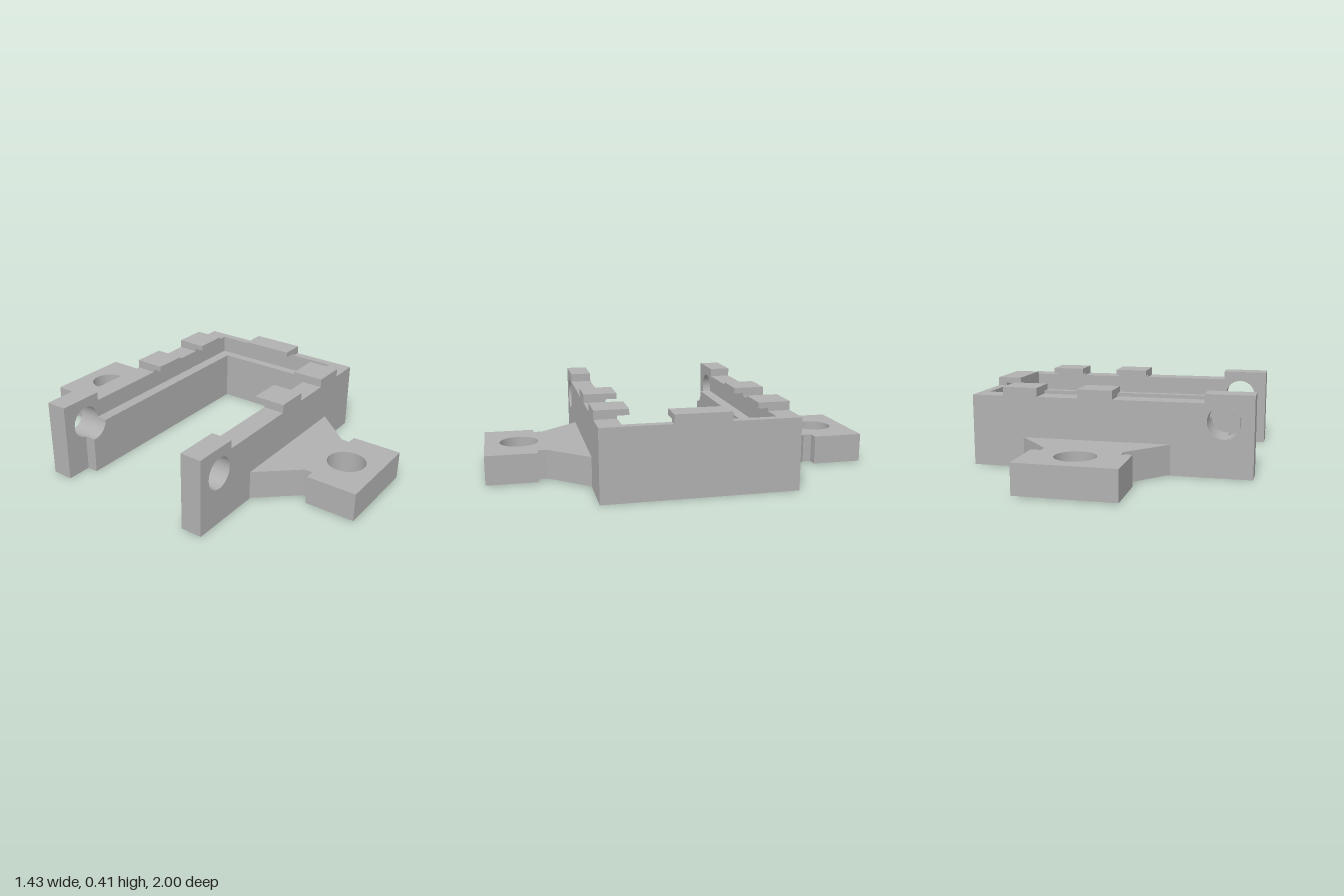
import * as THREE from 'three';
import { toCreasedNormals } from 'three/addons/utils/BufferGeometryUtils.js';

const TOP = 0.41, RIM = 0.365, LEDGE = 0.27, FLANGE = 0.155;
const OUT = 0.715, WALL_Z = 0.375, OUT_Z = 0.488;
const HOLE = { x: -0.57, y: 0.275, r: 0.083 };

export function createModel() {
  const model = new THREE.Group();
  const grey = new THREE.MeshStandardMaterial({ color: 0xb0b0b0 });
  grey.name = 'plain grey';

  const add = (name, geometry) => {
    const mesh = new THREE.Mesh(geometry, grey);
    mesh.name = name;
    model.add(mesh);
    return mesh;
  };
  // Box given by its lower and upper corners
  const box = (name, x0, x1, y0, y1, z0, z1) => {
    const g = new THREE.BoxGeometry(x1 - x0, y1 - y0, z1 - z0);
    add(name, g.translate((x0 + x1) / 2, (y0 + y1) / 2, (z0 + z1) / 2));
  };
  const polygon = (pts) => new THREE.Shape(pts.map(([x, y]) => new THREE.Vector2(x, y)));
  const circle = (x, y, r) => new THREE.Path().absarc(x, y, r, 0, Math.PI * 2, true);
  const extrude = (shape, depth) => toCreasedNormals(
    new THREE.ExtrudeGeometry(shape, { depth, bevelEnabled: false, curveSegments: 32 }), 0.5);

  // Side wall outline with a raised end tab and a pivot hole
  const wall = polygon([[-OUT, 0], [OUT, 0], [OUT, RIM], [-0.475, RIM], [-0.475, TOP], [-OUT, TOP]]);
  wall.holes.push(circle(HOLE.x, HOLE.y, HOLE.r));

  // Inner ledge outline, its free end scooped by the pivot hole
  const ledge = new THREE.Shape();
  ledge.moveTo(-0.58, 0);
  ledge.lineTo(0.67, 0);
  ledge.lineTo(0.67, LEDGE);
  ledge.lineTo(-0.487, LEDGE);
  ledge.absarc(HOLE.x, HOLE.y, HOLE.r, -0.06, -1.69, true);
  ledge.closePath();

  // Mounting flange seen from above, with a necked plate and screw hole
  const flange = polygon([
    [-0.31, OUT_Z], [0.445, OUT_Z], [0.262, 0.692], [0.262, 0.737], [0.315, 0.737],
    [0.315, 1], [-0.18, 1], [-0.18, 0.737], [-0.127, 0.737], [-0.127, 0.692],
  ]);
  flange.holes.push(circle(0.067, 0.823, 0.1));

  for (const s of [1, -1]) {
    const side = s > 0 ? 'front' : 'back';
    const inner = s > 0 ? 0.33 : 0.315;
    const tip = s > 0 ? 0.317 : 0.325;
    const span = (a, b) => (s > 0 ? [a, b] : [-b, -a]);

    add(side + 'Wall', extrude(wall, OUT_Z - WALL_Z)).position.z = span(WALL_Z, OUT_Z)[0];
    add(side + 'Ledge', extrude(ledge, WALL_Z - inner)).position.z = span(inner, WALL_Z)[0];

    const plate = add(side + 'Flange', extrude(flange, FLANGE - 0.004));
    plate.rotation.x = s * Math.PI / 2;
    plate.position.y = s > 0 ? FLANGE : 0.004;

    // Retaining clips: a foot on the rim and a lip reaching inward
    for (const [x0, x1] of [[-0.02, 0.16], [0.37, 0.55]]) {
      box(side + 'ClipFoot', x0, x1, RIM, TOP, ...span(WALL_Z, OUT_Z));
      box(side + 'ClipLip', x0, x1, 0.38, TOP, ...span(tip, WALL_Z));
    }
  }

  // Closed end with its ledge and clip
  box('endWall', 0.67, OUT, 0, RIM, -WALL_Z, WALL_Z);
  box('endLedge', 0.62, 0.67, 0, LEDGE, -0.315, 0.33);
  box('endClipFoot', 0.67, OUT, RIM, TOP, -0.145, 0.137);
  box('endClipLip', 0.587, 0.67, 0.38, TOP, -0.145, 0.137);

  return model;
}
